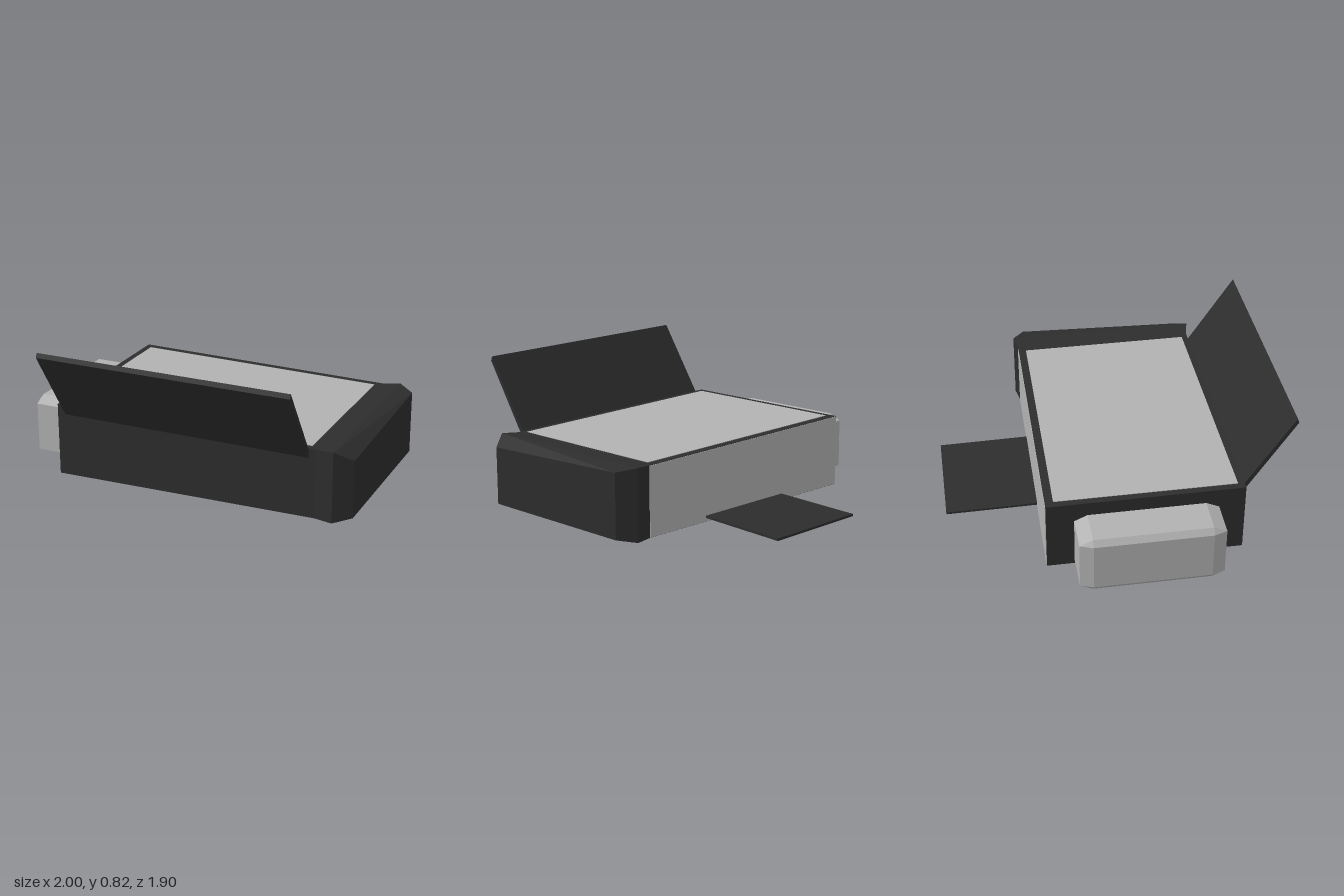
import * as THREE from 'three';
import { ConvexGeometry } from 'three/addons/geometries/ConvexGeometry.js';

const dark = new THREE.MeshStandardMaterial({ color: 0x2d2d2d });
dark.name = 'charcoal plastic';
const light = new THREE.MeshStandardMaterial({ color: 0xb2b2b2 });
light.name = 'light grey plastic';

export function createModel() {
  const group = new THREE.Group();

  // Faceted solid around a list of [x, y, z] corners
  const solid = (name, material, corners) => {
    const mesh = new THREE.Mesh(new ConvexGeometry(corners.map((c) => new THREE.Vector3(...c))), material);
    mesh.name = name;
    group.add(mesh);
  };

  // Cross-section at x: bottom, front top, back top, back z, front z
  const section = ([x, y0, yFront, yBack, z0, z1]) => [
    [x, y0, z1], [x, yFront, z1], [x, yBack, z0], [x, y0, z0],
  ];

  // Casing: long body, flared collar and bevelled end cap
  const rings = [
    [-0.742, 0.002, 0.424, 0.424, -0.43, 0.675],
    [0.8, 0.018, 0.415, 0.415, -0.41, 0.653],
    [0.905, 0.019, 0.424, 0.424, -0.43, 0.675],
    [1.0, 0.04, 0.37, 0.405, -0.36, 0.61],
  ];
  ['body', 'endCollar', 'endCap'].forEach((name, i) => {
    solid(name, dark, [...section(rings[i]), ...section(rings[i + 1])]);
  });

  // Light lid panel, laid on the top
  const lid = [[-0.703, 0.424, -0.383], [-0.703, 0.424, 0.637], [0.768, 0.4155, 0.618], [0.768, 0.4155, -0.366]];
  solid('lidPanel', light, [...lid, ...lid.map(([x, y, z]) => [x, y + 0.003, z])]);

  // Light panel covering the back wall
  const back = [[-0.742, 0.004, -0.43], [-0.742, 0.422, -0.43], [0.8, 0.413, -0.41], [0.8, 0.02, -0.41]];
  solid('backPanel', light, [...back, ...back.map(([x, y, z]) => [x, y, z - 0.003])]);

  // Sloping front tray: the same [z, y] profile at both ends, slightly skewed
  const trayProfile = [[0.953, 0.797], [0.944, 0.823], [0.668, 0.4], [0.68, 0.372]];
  solid('frontTray', dark, [
    ...trayProfile.map(([z, y]) => [-0.692, y, z]),
    ...trayProfile.map(([z, y]) => [0.763, y - 0.008, z - 0.02]),
  ]);

  // Flat tray sticking out at the back
  const tray = [[-0.252, 0.032, -0.41], [0.378, 0.036, -0.41], [0.387, 0.023, -0.944], [-0.244, 0.021, -0.952]];
  solid('backTray', dark, [...tray, ...tray.map(([x, y, z]) => [x, y + 0.013, z])]);

  // Chamfered side cartridge: each face is pushed out, its other axes inset
  const half = [0.128, 0.176, 0.4];
  const cut = [0.026, 0.034, 0.073];
  const center = [-0.872, 0.19, 0.121];
  const corners = [];
  for (let axis = 0; axis < 3; axis++) {
    for (let s = 0; s < 8; s++) {
      corners.push(half.map((h, i) => {
        const reach = i === axis ? h : h - cut[i];
        return center[i] + ((s >> i) & 1 ? reach : -reach);
      }));
    }
  }
  solid('sideCartridge', light, corners);

  return group;
}
